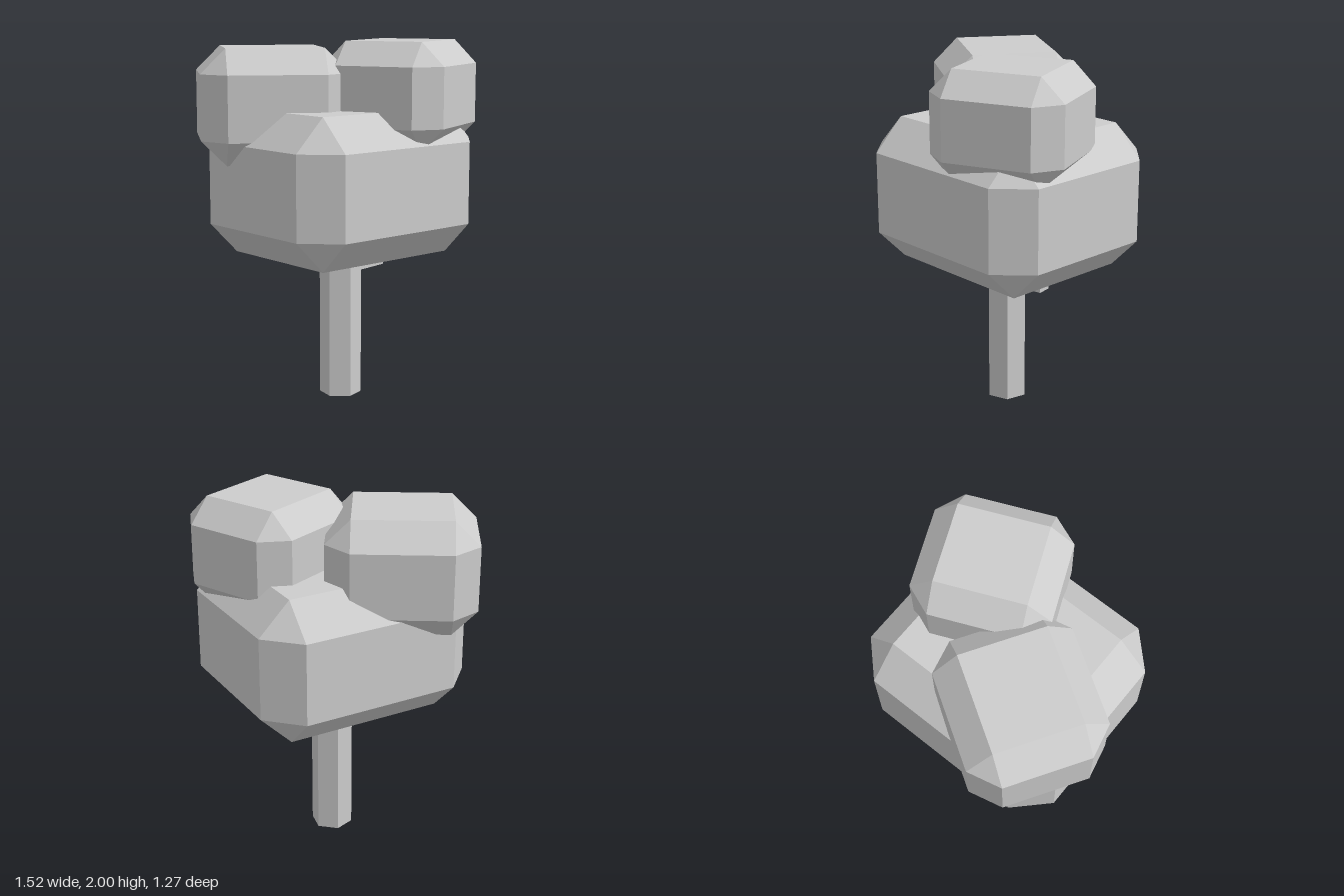
import * as THREE from 'three';
import { ConvexGeometry } from 'three/addons/geometries/ConvexGeometry.js';

// Box with every edge cut by a flat chamfer: three points around each corner
function chamferedBox(hx, hy, hz, bevel) {
  const points = [];
  for (const sx of [-1, 1]) for (const sy of [-1, 1]) for (const sz of [-1, 1]) {
    const [ix, iy, iz] = [hx - bevel, hy - bevel, hz - bevel];
    points.push(
      new THREE.Vector3(sx * hx, sy * iy, sz * iz),
      new THREE.Vector3(sx * ix, sy * hy, sz * iz),
      new THREE.Vector3(sx * ix, sy * iy, sz * hz)
    );
  }
  return new ConvexGeometry(points);
}

export function createModel() {
  const tree = new THREE.Group();
  tree.name = 'tree';

  const grey = new THREE.MeshStandardMaterial({ color: 0xcccccc, flatShading: true });
  grey.name = 'plain grey';

  function add(name, geometry, position, turn = 0) {
    const mesh = new THREE.Mesh(geometry, grey);
    mesh.name = name;
    mesh.position.set(...position);
    mesh.rotation.y = THREE.MathUtils.degToRad(turn);
    tree.add(mesh);
  }

  // Six-sided trunk, running up into the foliage
  add('trunk', new THREE.CylinderGeometry(0.117, 0.117, 1, 6), [0.03, 0.5, 0]);

  // Short side branch
  const branch = new THREE.BoxGeometry(0.25, 0.08, 0.08).translate(-0.125, 0, 0);
  add('branch', branch, [0.315, 0.75, -0.067], 22);

  // Three overlapping foliage blocks
  add('lowerFoliage', chamferedBox(0.627, 0.405, 0.554, 0.177), [0.034, 1.225, 0], 11.9);
  add('backFoliage', chamferedBox(0.402, 0.314, 0.369, 0.136), [-0.302, 1.651, -0.19], -20.1);
  add('frontFoliage', chamferedBox(0.371, 0.292, 0.35, 0.128), [0.33, 1.708, 0.146], 35.2);

  return tree;
}
